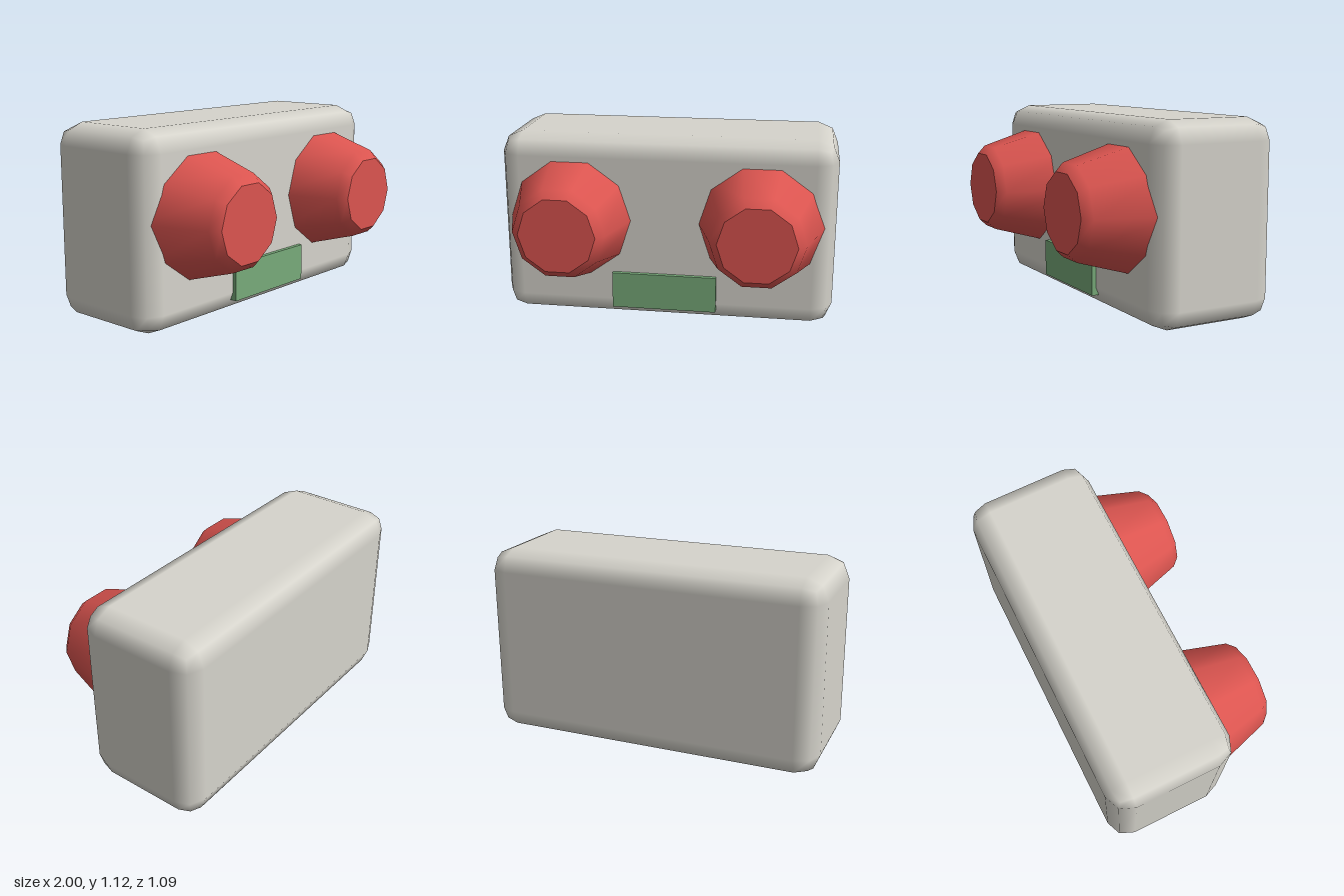
import * as THREE from 'three';
import { RoundedBoxGeometry } from 'three/addons/geometries/RoundedBoxGeometry.js';

export function createModel() {
  const model = new THREE.Group();
  const material = (name, color) => {
    const m = new THREE.MeshStandardMaterial({ color });
    m.name = name;
    return m;
  };
  const grey = material('warm grey', 0xd6d4cc);
  const red = material('red', 0xdc5550);
  const green = material('green', 0x78ab7a);

  const add = (parent, name, geometry, mat, x, y, z) => {
    const mesh = new THREE.Mesh(geometry, mat);
    mesh.name = name;
    mesh.position.set(x, y, z);
    parent.add(mesh);
    return mesh;
  };

  // Rounded housing
  add(model, 'body', new RoundedBoxGeometry(2, 1.125, 0.75, 1, 0.125), grey, 0, 0.5625, -0.171);

  // Ten-sided tapered knob with a bevelled rim and a flat face, sunk into the housing
  const profile = [[0.393, 0.1], [0.272, 0.498], [0.225, 0.547]].map(([r, z]) => new THREE.Vector2(r, z));
  const sideGeometry = new THREE.LatheGeometry(profile, 10, Math.PI / 2).rotateX(Math.PI / 2);
  const faceGeometry = new THREE.CircleGeometry(0.225, 10);
  for (const side of [-1, 1]) {
    const knob = new THREE.Group();
    knob.name = side > 0 ? 'leftKnob' : 'rightKnob';
    knob.position.set(side * 0.565, 0.627, 0);
    add(knob, 'knobSide', sideGeometry, red, 0, 0, 0);
    add(knob, 'knobFace', faceGeometry, red, 0, 0, 0.547);
    model.add(knob);
  }

  // Plate between the knobs
  add(model, 'frontPlate', new THREE.BoxGeometry(0.626, 0.22, 0.06), green, -0.002, 0.19, 0.199);

  return model;
}
